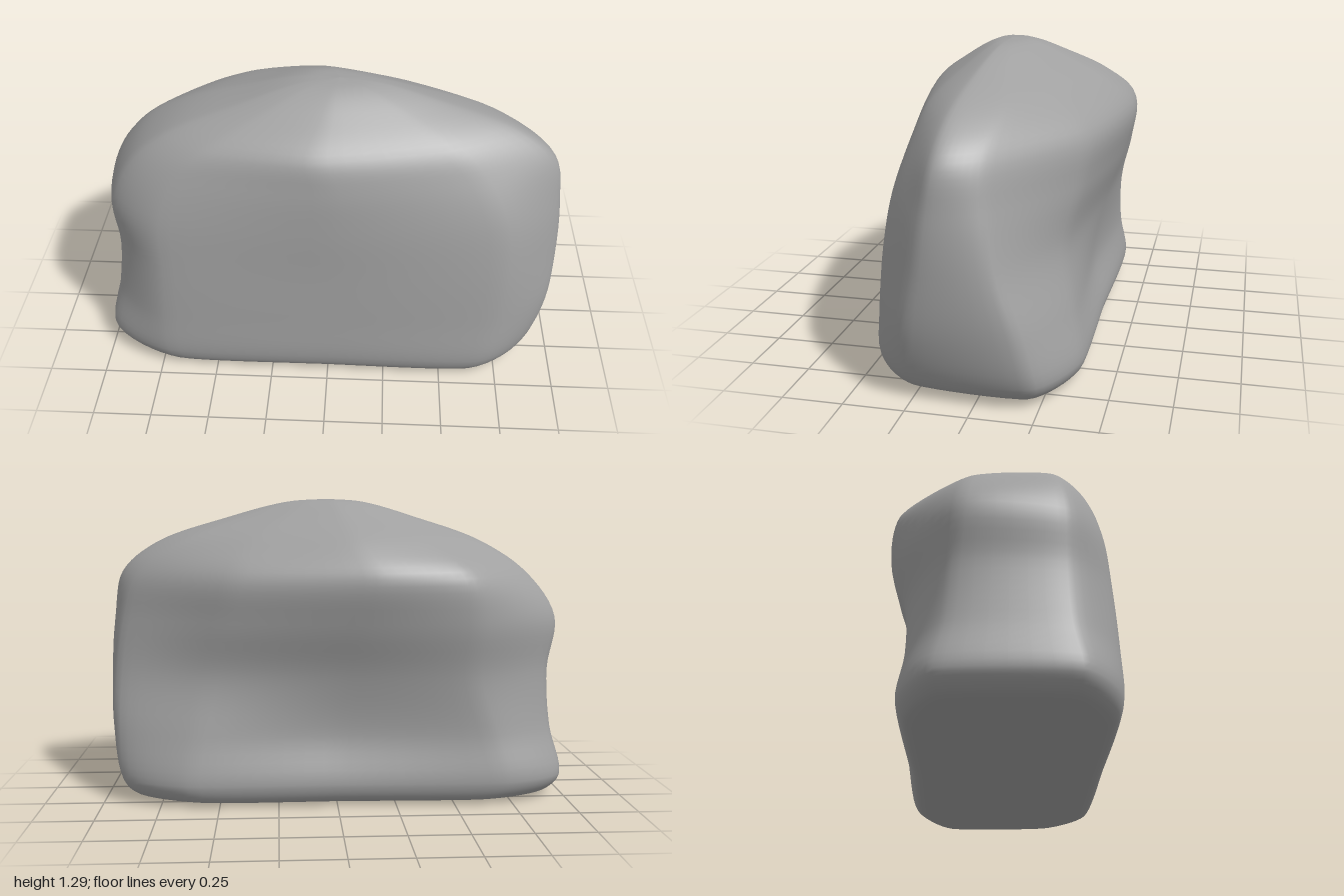
import * as THREE from 'three';

// Horizontal sections of the boulder: height, then ten x, z pairs
// running from the right front corner along the front and round the back.
const sections = [
  [0.10, -.99, .28, -.71, .455, 0, .465, .67, .46, .9, .27, .92, -.22, .63, -.375, 0, -.375, -.7, -.385, -.98, -.24],
  [0.30, -.95, .25, -.71, .45, 0, .46, .71, .44, .965, .25, .95, -.18, .6, -.335, 0, -.325, -.65, -.36, -.94, -.2],
  [0.55, -.92, .24, -.7, .435, 0, .45, .73, .41, .985, .2, .95, -.1, .55, -.29, -.05, -.355, -.57, -.37, -.925, -.18],
  [0.78, -.93, .24, -.7, .41, 0, .445, .71, .37, .975, .17, .92, -.06, .48, -.335, -.1, -.43, -.58, -.41, -.96, -.16],
  [0.97, -.84, .22, -.63, .37, 0, .43, .62, .32, .94, .14, .86, -.05, .43, -.35, -.15, -.465, -.55, -.41, -.84, -.13],
  [1.10, -.68, .2, -.5, .33, -.05, .395, .5, .28, .79, .12, .68, -.06, .36, -.24, -.08, -.365, -.4, -.31, -.65, -.08],
];
const AROUND = 80, UP = 72;

// Closed outline of one section, with nearly straight sides and rounded corners.
function outline([y, ...xz]) {
  const pts = [];
  for (let i = 0; i < xz.length; i += 2) pts.push(new THREE.Vector3(xz[i], y, xz[i + 1]));
  const curve = new THREE.CatmullRomCurve3(pts, true, 'catmullrom', 0.3);
  return Array.from({ length: AROUND }, (_, i) => curve.getPoint(i / AROUND));
}

// A section shrunk towards the middle and moved to another height.
function shrink(ring, s, y, cx, cz) {
  return ring.map((p) => new THREE.Vector3(cx + (p.x - cx) * s, y, cz + (p.z - cz) * s));
}

function boulderGeometry() {
  const rings = sections.map(outline);
  const base = rings[0], crown = rings[rings.length - 1];
  // Flat underside with a rounded edge, then the domed crown.
  rings.unshift(
    shrink(base, 0, 0, -0.06, 0.06),
    shrink(base, 0.6, 0.003, -0.06, 0.06),
    shrink(base, 0.87, 0.012, -0.06, 0.06),
    shrink(base, 0.95, 0.035, -0.06, 0.06));
  rings.push(
    shrink(crown, 0.57, 1.212, 0.04, 0.06),
    shrink(crown, 0.23, 1.28, 0.03, 0.05),
    shrink(crown, 0, 1.293, 0.03, 0.05));

  // Smooth every column from the underside to the peak.
  const position = [], index = [];
  const columns = base.map((_, i) =>
    new THREE.CatmullRomCurve3(rings.map((r) => r[i]), false, 'centripetal'));
  for (let j = 0; j <= UP; j++) {
    for (const column of columns) {
      const p = column.getPoint(j / UP);
      position.push(p.x, Math.max(0, p.y), p.z);
    }
  }
  for (let j = 0; j < UP; j++) {
    for (let i = 0; i < AROUND; i++) {
      const a = j * AROUND + i, b = j * AROUND + (i + 1) % AROUND;
      const c = a + AROUND, d = b + AROUND;
      if (j > 0) index.push(a, b, d);
      if (j < UP - 1) index.push(a, d, c);
    }
  }
  const geometry = new THREE.BufferGeometry();
  geometry.setAttribute('position', new THREE.Float32BufferAttribute(position, 3));
  geometry.setIndex(index);
  geometry.computeVertexNormals();
  return geometry;
}

export function createModel() {
  const group = new THREE.Group();
  group.name = 'rock';
  const boulder = new THREE.Mesh(boulderGeometry(), new THREE.MeshStandardMaterial({ color: 0xa0a0a0 }));
  boulder.name = 'boulder';
  group.add(boulder);
  return group;
}
